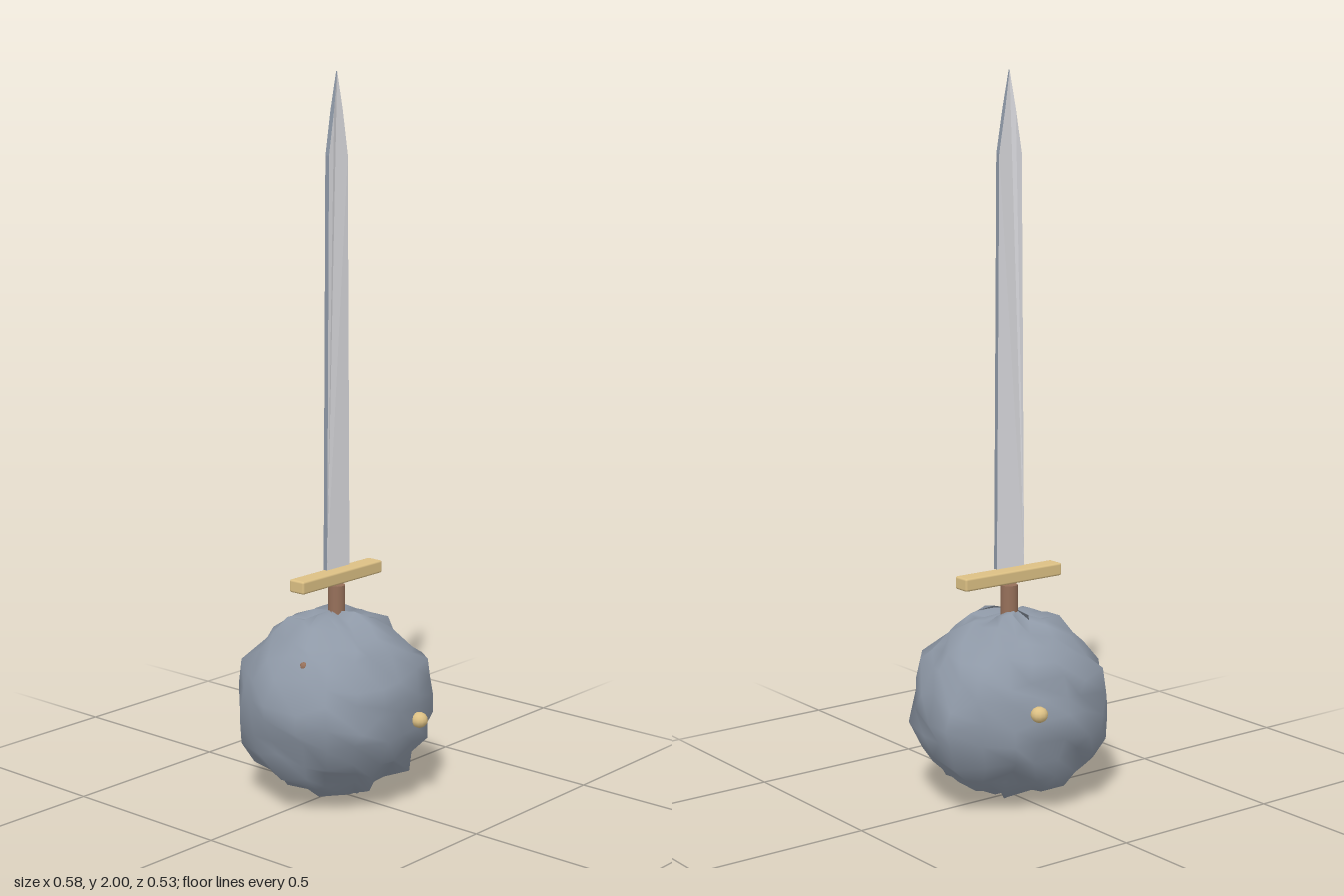
import * as THREE from 'three';
import { mergeVertices } from 'three/addons/utils/BufferGeometryUtils.js';
import { RoundedBoxGeometry } from 'three/addons/geometries/RoundedBoxGeometry.js';

const material = (name, color) => {
  const m = new THREE.MeshStandardMaterial({ color });
  m.name = name;
  return m;
};

// Rock radius every 22.5 degrees around the vertical axis, starting at +x towards +z
const GIRTH = [0.275, 0.27, 0.28, 0.265, 0.255, 0.255, 0.285, 0.275,
  0.29, 0.28, 0.29, 0.27, 0.255, 0.245, 0.27, 0.295];

function seeded(seed) {
  return () => {
    seed = (seed * 16807) % 2147483647;
    return seed / 2147483647 - 0.5;
  };
}

// Crumpled, smooth-shaded boulder
function rockGeometry() {
  let g = new THREE.SphereGeometry(1, 20, 14);
  g.deleteAttribute('uv');
  g.deleteAttribute('normal');
  g = mergeVertices(g, 1e-4);
  const rand = seeded(4217);
  const p = g.attributes.position;
  const v = new THREE.Vector3();
  for (let i = 0; i < p.count; i++) {
    v.fromBufferAttribute(p, i);
    const turn = Math.atan2(v.z, v.x) / (Math.PI / 8) + 16;
    const step = Math.floor(turn);
    const girth = THREE.MathUtils.lerp(GIRTH[step % 16], GIRTH[(step + 1) % 16], turn - step);
    const r = THREE.MathUtils.lerp(0.26, girth * 0.985, Math.hypot(v.x, v.z));
    p.setXYZ(i,
      v.x * r + rand() * 0.034,
      v.y * 0.255 + rand() * 0.04,
      v.z * r + rand() * 0.034);
  }
  g.computeBoundingBox();
  g.translate(0, -g.boundingBox.min.y, 0);
  g.computeVertexNormals();
  return g;
}

// Flat blade that thins out at the point
function bladeGeometry() {
  const outline = new THREE.Shape([
    [-0.047, 0.65], [0.047, 0.65], [0.038, 1.78], [0.0173, 1.9],
    [0, 2], [-0.0173, 1.9], [-0.038, 1.78],
  ].map(([x, y]) => new THREE.Vector2(x, y)));
  const g = new THREE.ExtrudeGeometry(outline, { depth: 0.013, bevelEnabled: false });
  g.translate(0, 0, -0.0065);
  const p = g.attributes.position;
  for (let i = 0; i < p.count; i++) {
    if (p.getY(i) > 1.95) p.setZ(i, p.getZ(i) * 0.3);
  }
  g.computeVertexNormals();
  return g;
}

export function createModel() {
  const group = new THREE.Group();
  group.name = 'swordInStone';
  const stone = material('slate', 0x8e98a6);
  const steel = material('steel', 0xdedee2);
  const gold = material('gold', 0xdcc084);
  const wood = material('brown', 0x96705a);

  const add = (name, geometry, mat, x = 0, y = 0, z = 0) => {
    const m = new THREE.Mesh(geometry, mat);
    m.name = name;
    m.position.set(x, y, z);
    group.add(m);
    return m;
  };

  add('rock', rockGeometry(), stone);
  add('blade', bladeGeometry(), [steel, stone], 0.002, 0, 0.002);
  add('guard', new RoundedBoxGeometry(0.332, 0.036, 0.052, 2, 0.006), gold, 0.002, 0.625, 0.002);
  add('grip', new THREE.CylinderGeometry(0.024, 0.024, 0.16, 16), wood, 0.002, 0.52, 0.002);

  // Nuggets half sunk in the rock
  const nuggets = [[0.07, 0.245, 0.245], [0.083, 0.3, -0.236]];
  for (const [x, y, z] of nuggets) {
    add('nugget', new THREE.SphereGeometry(0.024, 12, 8), gold, x, y, z).scale.y = 0.9;
  }
  add('pebble', new THREE.SphereGeometry(0.013, 8, 6), wood, -0.2, 0.422, 0.063);
  return group;
}
